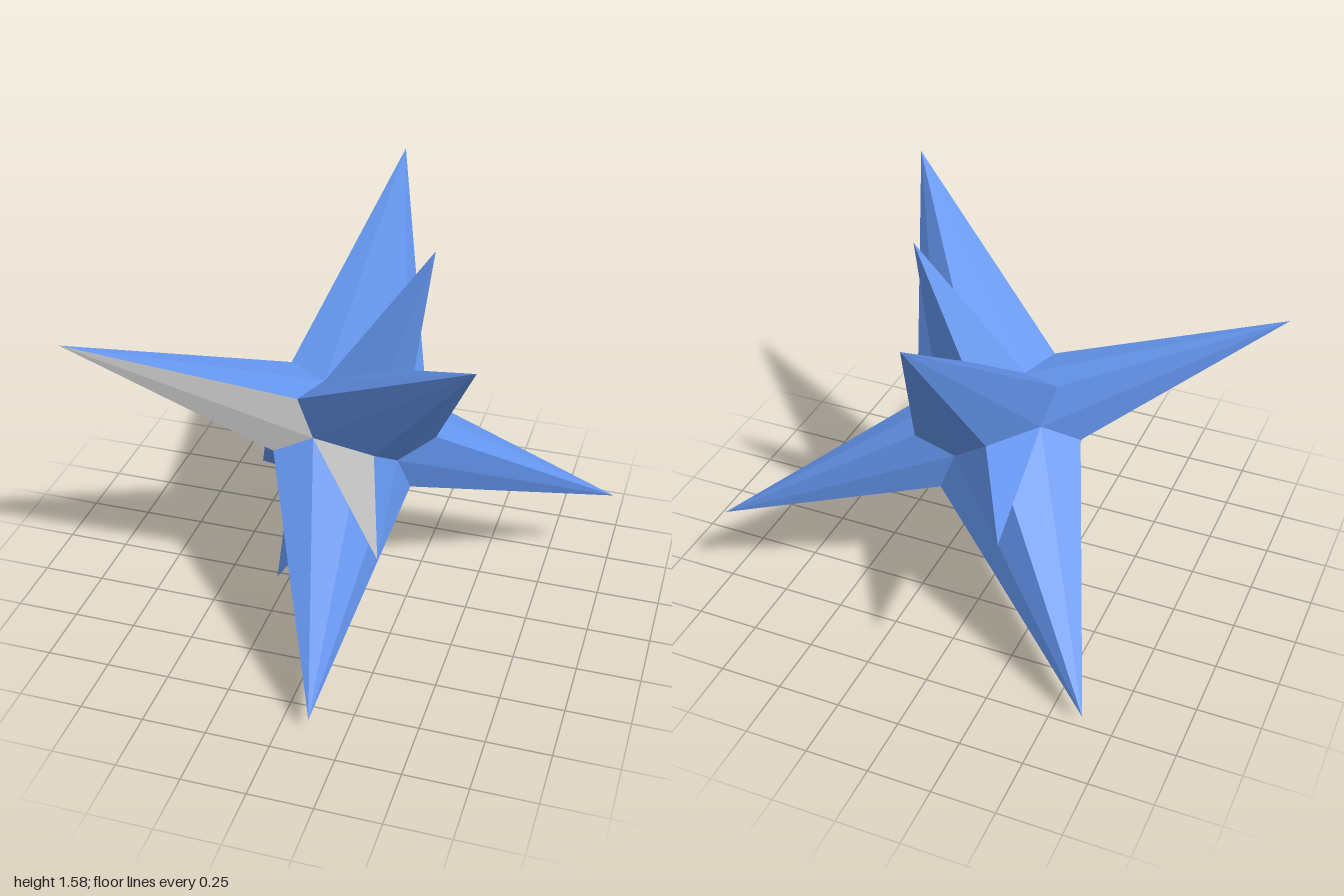
import * as THREE from 'three';

// Tilted star frame: three perpendicular axes around the core
const CORE = new THREE.Vector3(0, 0.762, -0.047);
const U = new THREE.Vector3(0.534, 0.61, 0.585).normalize();
const V = new THREE.Vector3(-0.017, 0.698, -0.715).normalize();
const W = new THREE.Vector3(-0.847, 0.369, 0.381).normalize();
const at = (u, v, w) => CORE.clone().addScaledVector(U, u).addScaledVector(V, v).addScaledVector(W, w);

const LONG = 1.18, SHORT = 0.58;
const blue = new THREE.MeshStandardMaterial({ color: 0x6495ed, flatShading: true });
const grey = new THREE.MeshStandardMaterial({ color: 0xcccccc, flatShading: true });

// Valley points shared by neighbouring spikes
const corner = (u, v, w) => at(0.11 * u, 0.115 * v, 0.177 * w);
const sideU = (u, w) => at(0.18 * u, 0, 0.29 * w);
const sideV = (v, w) => at(0, 0.18 * v, 0.29 * w);
const nearU = (u, v) => at(0.335 * u, 0.17 * v, 0);
const nearV = (u, v) => at(0.17 * u, 0.335 * v, 0);

function facets(name, triangles, material) {
  const points = [];
  for (const [a, b, c] of triangles) {
    // wind each facet to face away from the core
    const normal = b.clone().sub(a).cross(c.clone().sub(a));
    const outward = normal.dot(a.clone().add(b).add(c).divideScalar(3).sub(CORE)) > 0;
    points.push(a, ...(outward ? [b, c] : [c, b]));
  }
  const geometry = new THREE.BufferGeometry().setFromPoints(points);
  geometry.computeVertexNormals();
  const mesh = new THREE.Mesh(geometry, material);
  mesh.name = name;
  return mesh;
}

// A spike joins its tip to a closed ring of valley points
function spike(name, tip, ring, greyFacets = []) {
  const group = new THREE.Group();
  group.name = name;
  const triangles = ring.map((p, i) => [tip, p, ring[(i + 1) % ring.length]]);
  group.add(facets(name + 'Facets', triangles.filter((_, i) => !greyFacets.includes(i)), blue));
  if (greyFacets.length) {
    group.add(facets(name + 'GreyFacets', greyFacets.map(i => triangles[i]), grey));
  }
  return group;
}

export function createModel() {
  const model = new THREE.Group();
  model.name = 'spikedStar';

  for (const s of [1, -1]) {
    const end = s > 0 ? 'Upper' : 'Lower';

    // Long spikes along the first axis
    model.add(spike('longSpike' + end + 'Front', at(LONG * s, 0, 0), [
      sideU(s, 1), corner(s, 1, 1), nearU(s, 1), corner(s, 1, -1),
      sideU(s, -1), corner(s, -1, -1), nearU(s, -1), corner(s, -1, 1),
    ]));

    // Long spikes along the second axis; the lower tip is bent forward
    const tip = s > 0 ? at(0, LONG, 0) : new THREE.Vector3(0.115, 0.067, 0.89);
    model.add(spike('longSpike' + end + 'Back', tip, [
      sideV(s, 1), corner(1, s, 1), nearV(1, s), corner(1, s, -1),
      sideV(s, -1), corner(-1, s, -1), nearV(-1, s), corner(-1, s, 1),
    ]));

    // Long sideways spikes; one carries two grey facets
    model.add(spike('sideSpike' + end, at(0, 0, LONG * s), [
      sideU(1, s), corner(1, -1, s), sideV(-1, s), corner(-1, -1, s),
      sideU(-1, s), corner(-1, 1, s), sideV(1, s), corner(1, 1, s),
    ], s > 0 ? [0, 1] : []));

    // Short four-sided spikes on the diagonals; one has a grey facet
    for (const t of [1, -1]) {
      model.add(spike('shortSpike' + end + (t > 0 ? 'A' : 'B'), at(SHORT * s, SHORT * t, 0), [
        nearU(s, t), corner(s, t, 1), nearV(s, t), corner(s, t, -1),
      ], s > 0 && t < 0 ? [0] : []));
    }
  }
  return model;
}
